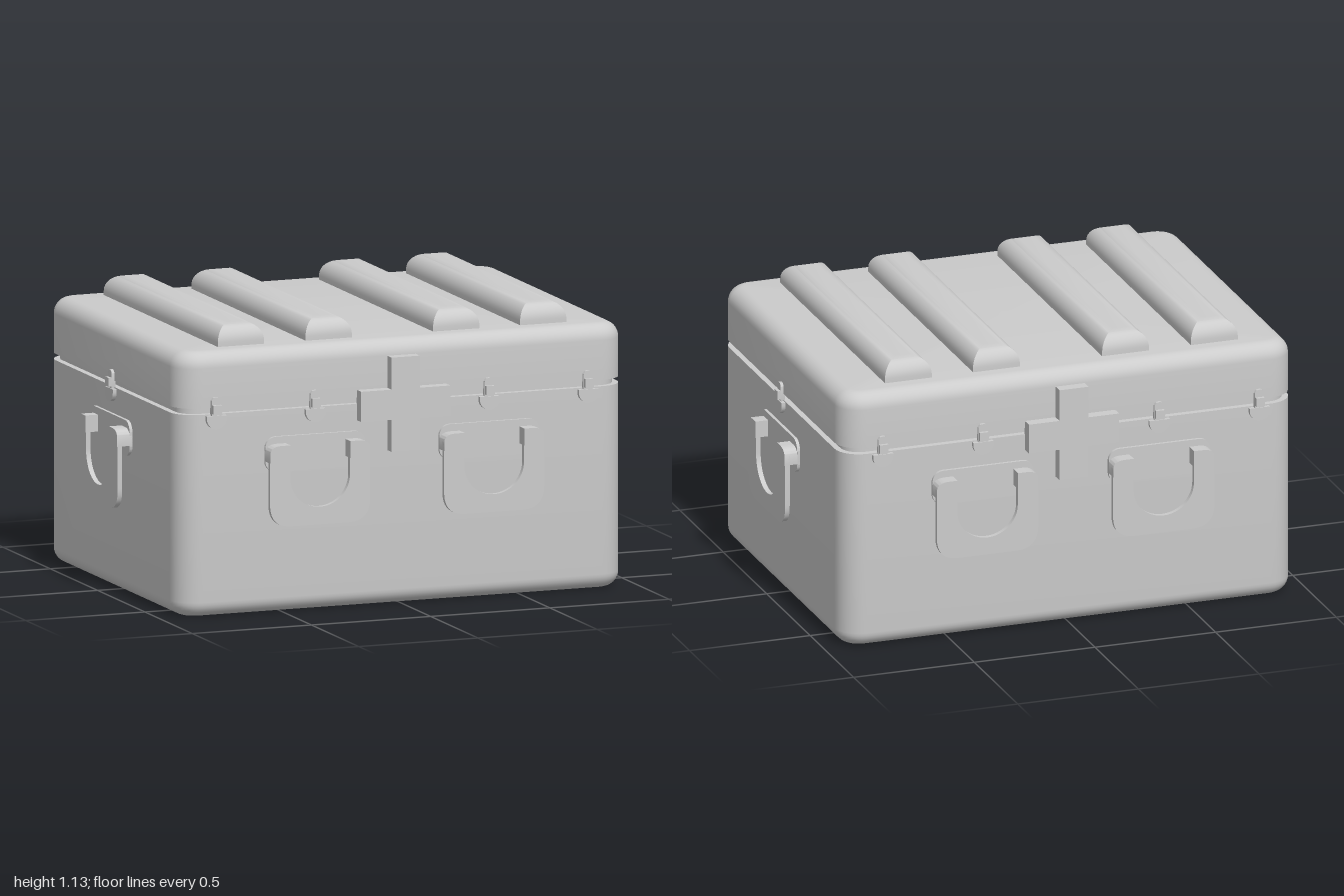
import * as THREE from 'three';
import { toCreasedNormals } from 'three/addons/utils/BufferGeometryUtils.js';

const solid = new THREE.MeshStandardMaterial({ color: 0xcccccc });
const shell = new THREE.MeshStandardMaterial({ color: 0xcccccc, side: THREE.DoubleSide });

function add(parent, name, geometry, material = solid) {
  const mesh = new THREE.Mesh(toCreasedNormals(geometry, 0.6), material);
  mesh.name = name;
  parent.add(mesh);
  return mesh;
}

// Stack of rounded rectangles; each level is [y, inset].
function loft(halfX, halfZ, radius, levels, capped) {
  const pos = [], index = [], seg = radius > 0 ? 8 : 0;
  const n = 4 * (seg + 1);
  for (const [y, inset] of levels) {
    const r = Math.max(radius - inset, 0);
    for (let c = 0; c < 4; c++) {
      const sx = c === 0 || c === 3 ? 1 : -1, sz = c < 2 ? 1 : -1;
      for (let s = 0; s <= seg; s++) {
        const a = (c + (seg ? s / seg : 0)) * Math.PI / 2;
        pos.push(sx * (halfX - inset - r) + r * Math.cos(a), y,
          sz * (halfZ - inset - r) + r * Math.sin(a));
      }
    }
  }
  for (let l = 0; l < levels.length - 1; l++) {
    for (let i = 0; i < n; i++) {
      const a = l * n + i, b = l * n + (i + 1) % n;
      index.push(a, a + n, b, b, a + n, b + n);
    }
  }
  if (capped) {
    const top = (levels.length - 1) * n;
    pos.push(0, levels[levels.length - 1][0], 0);
    for (let i = 0; i < n; i++) index.push(levels.length * n, top + (i + 1) % n, top + i);
  }
  const g = new THREE.BufferGeometry();
  g.setAttribute('position', new THREE.Float32BufferAttribute(pos, 3));
  g.setIndex(index);
  return g;
}

// Quarter-round levels that curl inward towards the top.
function fillet(y, r, steps = 8) {
  return Array.from({ length: steps + 1 }, (_, i) => {
    const a = i / steps * Math.PI / 2;
    return [y + r * Math.sin(a), r * (1 - Math.cos(a))];
  });
}

function extrude(shape, z0, z1) {
  const g = new THREE.ExtrudeGeometry(shape, { depth: z1 - z0, bevelEnabled: false, curveSegments: 12 });
  return g.translate(0, 0, z0);
}

function roundedRect(x0, y0, x1, y1, r) {
  const s = new THREE.Shape();
  s.absarc(x1 - r, y1 - r, r, 0, Math.PI / 2);
  s.absarc(x0 + r, y1 - r, r, Math.PI / 2, Math.PI);
  s.absarc(x0 + r, y0 + r, r, Math.PI, Math.PI * 1.5);
  s.absarc(x1 - r, y0 + r, r, Math.PI * 1.5, Math.PI * 2);
  return s;
}

// Drop handle: base plate, two hinge blocks and a U-shaped grip.
function makeHandle() {
  const g = new THREE.Group();
  g.name = 'handle';
  add(g, 'handleBase', extrude(roundedRect(-0.21, 0.56, 0.21, 0.7, 0.045), -0.012, 0.012));
  for (const s of [-1, 1]) {
    const hinge = new THREE.Shape();
    hinge.moveTo(s * 0.125, 0.605);
    hinge.lineTo(s * 0.21, 0.605);
    hinge.lineTo(s * 0.21, 0.645);
    hinge.quadraticCurveTo(s * 0.205, 0.67, s * 0.165, 0.672);
    hinge.lineTo(s * 0.125, 0.672);
    add(g, 'handleHinge', extrude(hinge, 0, 0.065));
  }
  const u = new THREE.Shape();
  u.moveTo(-0.21, 0.64);
  u.quadraticCurveTo(-0.21, 0.665, -0.17, 0.67);
  u.lineTo(-0.125, 0.67);
  u.lineTo(-0.125, 0.54);
  u.absellipse(0, 0.54, 0.125, 0.12, Math.PI, Math.PI * 2, false);
  u.lineTo(0.125, 0.67);
  u.lineTo(0.17, 0.67);
  u.quadraticCurveTo(0.21, 0.665, 0.21, 0.64);
  u.lineTo(0.21, 0.44);
  u.quadraticCurveTo(0.21, 0.35, 0.12, 0.35);
  u.lineTo(-0.12, 0.35);
  u.quadraticCurveTo(-0.21, 0.35, -0.21, 0.44);
  add(g, 'handleGrip', extrude(u, 0.043, 0.062));
  return g;
}

// Latch: half-round catch under a small rounded tongue.
function makeLatch() {
  const g = new THREE.Group();
  g.name = 'latch';
  const half = new THREE.Shape();
  half.moveTo(0.042, 0.8);
  half.lineTo(-0.042, 0.8);
  half.absellipse(0, 0.79, 0.042, 0.043, Math.PI, Math.PI * 2, false);
  add(g, 'latchCatch', extrude(half, -0.005, 0.016));
  add(g, 'latchTongue', extrude(roundedRect(-0.02, 0.785, 0.02, 0.873, 0.018), -0.005, 0.012));
  add(g, 'latchKnob', new THREE.BoxGeometry(0.036, 0.035, 0.03)).position.set(0, 0.825, 0.01);
  return g;
}

function makeCross() {
  const s = new THREE.Shape();
  const a = 0.06, b = 0.187;
  [[a, a], [a, b], [-a, b], [-a, a], [-b, a], [-b, -a], [-a, -a], [-a, -b], [a, -b], [a, -a], [b, -a], [b, a]]
    .forEach(([x, y], i) => (i ? s.lineTo(x, y) : s.moveTo(x, y)));
  return extrude(s, -0.005, 0.045).translate(0, 0.8, 0);
}

export function createModel() {
  const model = new THREE.Group();
  model.name = 'storageCase';
  const X = 0.937, Z = 0.703, R = 0.1;

  // Open-bottomed box with a recessed seam, and the lid above it
  const base = fillet(0, 0.06).map(([y, d]) => [0.06 - y, d]).reverse();
  add(model, 'box', loft(X, Z, R, [...base, [0.805, 0], [0.805, 0.025], [0.83, 0.025]]), shell);
  add(model, 'lid', loft(X, Z, R, [[0.83, 0.025], [0.83, 0], ...fillet(0.987, 0.063)], true), shell);

  // Raised ribs with mitred rounded ends
  for (const x of [-0.638, -0.27, 0.265, 0.63]) {
    const rib = add(model, 'lidRib', loft(0.097, 0.603, 0, [[1.04, 0], ...fillet(1.067, 0.067)], true));
    rib.position.x = x;
  }

  // Fittings on the front and back
  for (const s of [1, -1]) {
    const side = new THREE.Group();
    side.name = s > 0 ? 'frontFittings' : 'backFittings';
    side.position.z = s * Z;
    side.rotation.y = s > 0 ? 0 : Math.PI;
    const put = (part, x) => { part.position.x = s * x; side.add(part); };
    for (const x of [-0.37, 0.36]) put(makeHandle(), x);
    for (const x of [-0.785, -0.37, 0.36, 0.775]) put(makeLatch(), x);
    add(side, 'cross', makeCross()).position.x = s * -0.004;
    model.add(side);
  }

  // Fittings on the two ends
  for (const s of [1, -1]) {
    const end = new THREE.Group();
    end.name = s > 0 ? 'leftFittings' : 'rightFittings';
    end.position.x = s * X;
    end.rotation.y = s * Math.PI / 2;
    end.add(makeHandle(), makeLatch());
    model.add(end);
  }
  return model;
}
